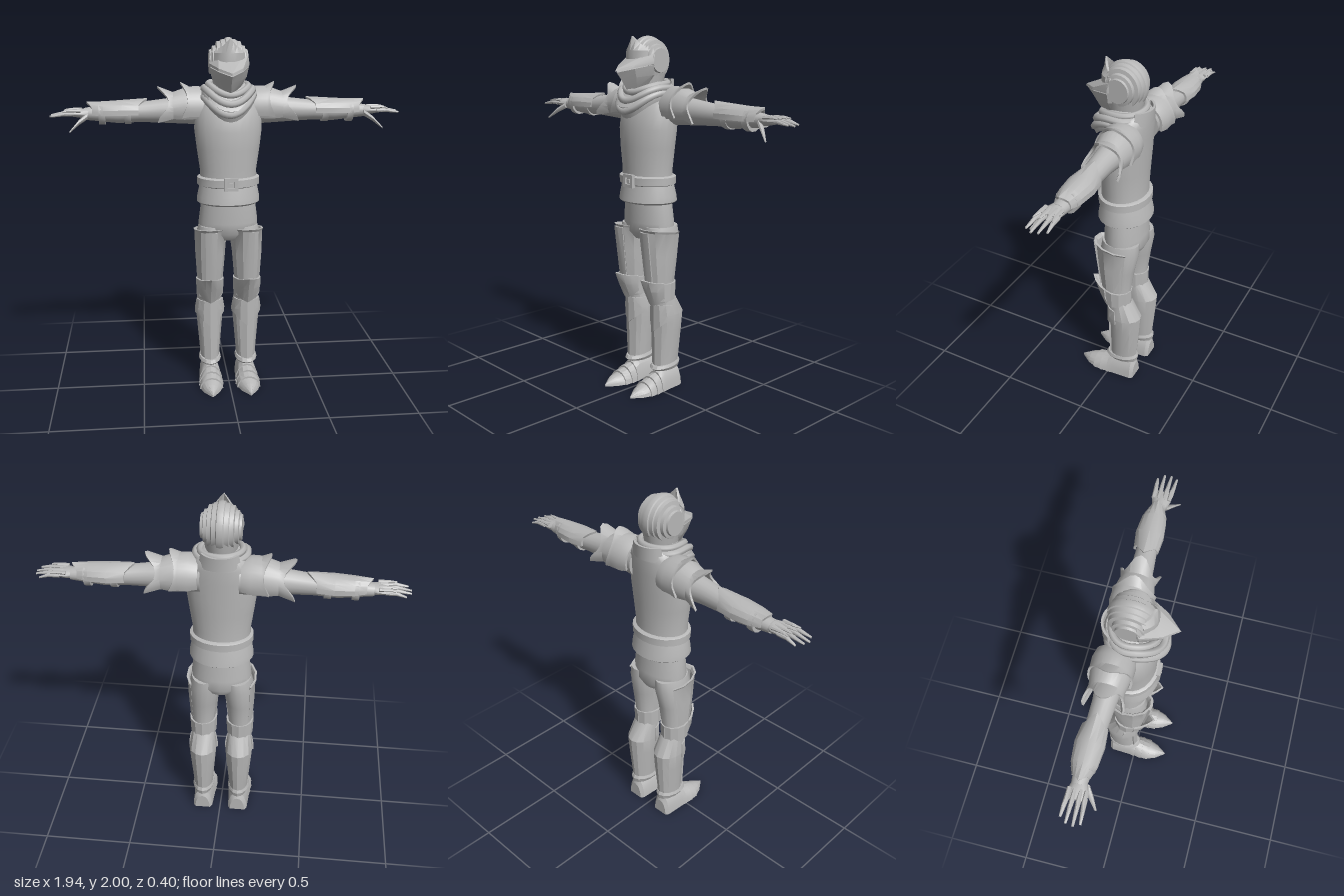
import * as THREE from 'three';
import { toCreasedNormals } from 'three/addons/utils/BufferGeometryUtils.js';

const steel = new THREE.MeshStandardMaterial({ color: 0xb8b8b8 });
steel.name = 'steel grey';

const AXES = { x: (t, a, b) => [t, a, b], y: (t, a, b) => [a, t, b], z: (t, a, b) => [a, b, t] };
const val = (v, a) => (typeof v === 'function' ? v(a) : v);
const peak = (a, w) => Math.max(0, 1 - Math.abs(a) / w);

// Skin a list of equal point loops, close both ends, and turn the faces outward
function loft(loops, side = 1, crease = 0.6) {
  const n = loops[0].length, m = loops.length, idx = [];
  for (let i = 0; i < m - 1; i++) for (let j = 0; j < n; j++) {
    const a = i * n + j, b = i * n + (j + 1) % n;
    idx.push(a, b, b + n, a, b + n, a + n);
  }
  const o = (m - 1) * n;
  for (let j = 0; j <= n / 2 - 2; j++) {
    const [p, q, r, s] = [j, j + 1, n - 2 - j, n - 1 - j];
    idx.push(p, r, q, p, s, r, o + p, o + q, o + r, o + p, o + r, o + s);
  }
  const pts = loops.flat().map(([x, y, z]) => new THREE.Vector3(x * side, y, z));
  let volume = 0;
  for (let k = 0; k < idx.length; k += 3) {
    volume += pts[idx[k]].dot(new THREE.Vector3().crossVectors(pts[idx[k + 1]], pts[idx[k + 2]]));
  }
  if (volume < 0) idx.reverse();
  const g = new THREE.BufferGeometry().setFromPoints(pts);
  g.setIndex(idx);
  return toCreasedNormals(g, crease);
}

// Row: position on axis, two centre coordinates, cross radius, front radius, back radius
function point(axis, row, a, shrink = 0) {
  const [t, c1, c2, r1, rf, rb = rf] = row.map((v) => val(v, a));
  const r2 = Math.cos(a) > 0 ? rf : rb;
  return AXES[axis](t, c1 + (r1 - shrink) * Math.sin(a), c2 + (r2 - shrink) * Math.cos(a));
}
function solid(rows, { axis = 'y', n = 24, side = 1, crease = 0.8 } = {}) {
  return loft(rows.map((row) => Array.from({ length: n }, (_, j) =>
    point(axis, row, (j / n) * Math.PI * 2 - Math.PI))), side, crease);
}
// Curved plate with thickness, covering the angles from a0 to a1
function plate(rows, a0, a1, { axis = 'y', n = 8, side = 1, th = 0.012, crease = 0.45 } = {}) {
  return loft(rows.map((row) => {
    const angles = Array.from({ length: n + 1 }, (_, j) => a0 + (a1 - a0) * j / n);
    return [...angles.map((a) => point(axis, row, a)),
      ...angles.reverse().map((a) => point(axis, row, a, th))];
  }), side, crease);
}

export function createModel() {
  const model = new THREE.Group();
  model.name = 'armouredFigure';
  const add = (name, geometry, parent = model) => {
    const mesh = new THREE.Mesh(geometry, steel);
    mesh.name = name;
    parent.add(mesh);
    return mesh;
  };

  // Trunk
  add('torso', solid([
    [1.18, 0, -0.035, 0.16, 0.125, 0.125], [1.28, 0, -0.035, 0.158, 0.125, 0.12],
    [1.4, 0, -0.035, 0.175, 0.13, 0.125], [1.5, 0, -0.04, 0.187, 0.135, 0.125],
    [1.6, 0, -0.05, 0.185, 0.13, 0.12], [1.68, 0, -0.07, 0.165, 0.11, 0.105],
    [1.73, 0, -0.085, 0.12, 0.07, 0.09], [1.745, 0, -0.085, 0.09, 0.05, 0.08],
  ]));
  add('skirt', solid([
    [1.09, 0, -0.037, 0.165, 0.135, 0.138], [1.1, 0, -0.037, 0.177, 0.147, 0.15],
    [1.13, 0, -0.037, 0.175, 0.143, 0.145], [1.21, 0, -0.035, 0.158, 0.125, 0.128],
  ]));
  add('belt', solid([
    [1.19, 0, -0.035, 0.158, 0.128, 0.128], [1.197, 0, -0.035, 0.174, 0.142, 0.142],
    [1.238, 0, -0.035, 0.174, 0.142, 0.142], [1.246, 0, -0.035, 0.158, 0.128, 0.128],
  ]));
  const buckle = new THREE.Shape();
  buckle.moveTo(-0.038, -0.036).lineTo(0.038, -0.036).lineTo(0.038, 0.036).lineTo(-0.038, 0.036);
  const hole = new THREE.Path();
  hole.moveTo(-0.02, -0.018).lineTo(-0.02, 0.018).lineTo(0.02, 0.018).lineTo(0.02, -0.018);
  buckle.holes.push(hole);
  add('buckle', new THREE.ExtrudeGeometry(buckle, { depth: 0.02, bevelEnabled: false })).position.set(0.002, 1.218, 0.098);
  add('buckleStud', new THREE.BoxGeometry(0.02, 0.02, 0.015)).position.set(0.002, 1.218, 0.11);
  add('hips', solid([
    [0.88, 0, -0.045, 0.1, 0.08, 0.1], [0.92, 0, -0.045, 0.165, 0.11, 0.12],
    [0.98, 0, -0.045, 0.168, 0.115, 0.115], [1.12, 0, -0.04, 0.15, 0.11, 0.11],
  ]));
  add('backCollar', plate([
    [1.69, 0, -0.07, 0.13, 0.1, 0.115], [1.765, 0, -0.07, 0.115, 0.1, 0.12],
  ], Math.PI - 1, Math.PI + 1));

  // Scarf: a draped bib with rolled folds above it
  const dip = (y, k) => (a) => y - k * Math.max(0, Math.cos(a)) ** 2.5;
  add('scarfBib', solid([
    [dip(1.66, 0.1), 0, -0.04, 0.145, 0.165, 0.1], [dip(1.69, 0.07), 0, -0.04, 0.152, 0.19, 0.11],
    [dip(1.725, 0.07), 0, -0.04, 0.14, 0.165, 0.1], [dip(1.755, 0.05), 0, -0.04, 0.085, 0.1, 0.08],
  ], { n: 28 }));
  [[1.69, 0.09, 0.138, 0.178, 0.02], [1.725, 0.075, 0.133, 0.165, 0.02], [1.745, 0.04, 0.11, 0.135, 0.018]]
    .forEach(([y, k, rx, rz, r], i) => {
      const pts = Array.from({ length: 20 }, (_, j) => {
        const a = (j / 20) * Math.PI * 2;
        return new THREE.Vector3(rx * Math.sin(a), dip(y, k)(a) + 0.006 * Math.sin(a + i * 2),
          -0.04 + (Math.cos(a) > 0 ? rz : 0.1) * Math.cos(a));
      });
      add('scarfFold', new THREE.TubeGeometry(new THREE.CatmullRomCurve3(pts, true), 48, r, 7, true));
    });

  // Helmet: stepped flutes run from front to back
  const helmet = new THREE.Group();
  helmet.name = 'helmet';
  model.add(helmet);
  const fluteRows = [];
  [0.016, 0.042, 0.066, 0.088, 0.104].forEach((x, i, all) => {
    const f = Math.sqrt(1 - (x / 0.12) ** 2) + (i % 2 ? 0.0 : 0.025);
    fluteRows.push([i ? all[i - 1] + 0.004 : 0, f], [x, f - 0.025]);
  });
  const skullRows = [...fluteRows.slice().reverse().map(([x, f]) => [-x, f]), ...fluteRows.slice(1)];
  add('skull', solid(skullRows.map(([x, f]) => [x, 1.868, -0.035, 0.128 * f, 0.12 * f]),
    { axis: 'x', n: 28, crease: 0.5 }), helmet);
  add('neckGuard', solid([
    [1.7, 0, -0.03, 0.075, 0.08, 0.085], [1.76, 0, -0.03, 0.085, 0.09, 0.1],
    [1.86, 0, -0.03, 0.102, 0.1, 0.118],
  ]), helmet);
  const wedge = (w, yBack, zBack, yTip, zTip) => [
    [-w * 0.8, yBack, zBack - 0.05], [-w, yBack, zBack], [-w * 0.6, (yBack + yTip) / 2, zBack + (zTip - zBack) * 0.58],
    [0, yTip, zTip], [w * 0.6, (yBack + yTip) / 2, zBack + (zTip - zBack) * 0.58],
    [w, yBack, zBack], [w * 0.8, yBack, zBack - 0.05], [0, yBack, zBack - 0.05],
  ];
  add('chinGuard', loft([
    wedge(0.06, 1.735, 0.02, 1.715, 0.12), wedge(0.095, 1.79, 0.02, 1.77, 0.16),
    wedge(0.107, 1.845, 0.02, 1.805, 0.19),
  ], 1, 0.3), helmet);
  add('visor', loft([
    wedge(0.109, 1.85, 0.02, 1.81, 0.2), wedge(0.109, 1.865, 0.02, 1.823, 0.195),
    wedge(0.104, 1.905, 0.01, 1.875, 0.095), wedge(0.09, 1.93, 0.01, 1.92, 0.09),
  ], 1, 0.3), helmet);
  add('browCrest', plate([
    [1.87, 0, -0.035, 0.105, 0.13], [1.92, 0, -0.035, 0.1, 0.13],
    [(a) => 1.945 + 0.05 * peak(a, 0.6), 0, -0.035, 0.085, (a) => 0.1 + 0.018 * peak(a, 0.6)],
  ], -0.95, 0.95), helmet);

  for (const side of [1, -1]) {
    const label = side > 0 ? 'left' : 'right';
    const group = (name) => {
      const g = new THREE.Group();
      g.name = label + name;
      model.add(g);
      return g;
    };

    // Arm
    const arm = group('Arm'), X = { axis: 'x', side };
    const top = Math.PI / 2;
    add('sleeve', solid([
      [0.1, 1.61, -0.085, 0.09, 0.085], [0.22, 1.605, -0.085, 0.078, 0.075],
      [0.36, 1.6, -0.085, 0.065, 0.06], [0.48, 1.595, -0.09, 0.055, 0.055],
      [0.6, 1.59, -0.095, 0.055, 0.056], [0.78, 1.588, -0.095, 0.033, 0.038],
    ], { ...X, n: 18 }), arm);
    const spikes = (a) => Math.abs(Math.cos(1.5 * (a - top))) ** 3;
    add('lowerPauldron', plate([
      [0.15, 1.615, -0.09, 0.1, 0.1], [0.24, 1.615, -0.09, 0.108, 0.102], [0.3, 1.61, -0.09, 0.092, 0.09],
      [(a) => 0.325 + 0.06 * spikes(a), 1.61, -0.09, (a) => 0.088 + 0.037 * spikes(a), (a) => 0.09 + 0.03 * spikes(a)],
    ], top - 2.1, top + 2.1, { ...X, n: 18 }), arm);
    add('upperPauldron', plate([
      [0.11, 1.615, -0.09, 0.1, 0.1], [0.16, 1.615, -0.09, 0.118, 0.112], [0.21, 1.615, -0.09, 0.116, 0.11],
      [(a) => 0.225 + 0.035 * spikes(a), 1.615, -0.09, (a) => 0.114 + 0.028 * spikes(a), 0.114],
    ], top - 1.9, top + 1.9, { ...X, n: 18 }), arm);
    add('forearmGuard', plate([
      [(a) => 0.49 - 0.05 * peak(a - top, 0.9), 1.595, -0.095, (a) => 0.062 + 0.013 * peak(a - top, 0.9), 0.066],
      [0.58, 1.595, -0.097, 0.066, 0.076], [0.68, 1.593, -0.097, 0.062, 0.066],
      [(a) => 0.74 + 0.03 * peak(a - top, 0.9), 1.592, -0.097, (a) => 0.048 + 0.014 * peak(a - top, 0.9), 0.045],
    ], top - 1.75, top + 1.75, X), arm);
    for (const x of [0.53, 0.67]) add('forearmStrap', solid([
      [x, 1.59, -0.096, 0.062, 0.062], [x + 0.035, 1.59, -0.096, 0.062, 0.06],
    ], { ...X, n: 14 }), arm);
    add('palm', solid([
      [0.755, 1.59, -0.092, 0.03, 0.035], [0.8, 1.592, -0.09, 0.026, 0.05], [0.85, 1.592, -0.088, 0.016, 0.052],
    ], { ...X, n: 12 }), arm);
    [[-0.132, 0.94], [-0.105, 0.965], [-0.075, 0.97], [-0.048, 0.955]].forEach(([z, tip], i) => {
      const z1 = z + (z + 0.09) * 0.2;
      add('finger', solid([
        [0.835, 1.592, z, 0.012, 0.013], [0.89, 1.593, (z + z1) / 2, 0.011, 0.011], [tip, 1.578 + 0.004 * (i % 2), z1, 0.005, 0.006],
      ], { ...X, n: 8 }), arm);
      add('knuckleGuard', solid([
        [0.8, 1.608, z, 0.01, 0.011], [0.86, 1.61, z, 0.007, 0.01], [0.895, 1.606, z1, 0.003, 0.004],
      ], { ...X, n: 6, crease: 0.3 }), arm);
    });
    add('thumb', solid([
      [0.765, 1.58, -0.065, 0.018, 0.02], [0.81, 1.55, -0.032, 0.014, 0.016], [0.86, 1.502, 0.004, 0.005, 0.006],
    ], { ...X, n: 8 }), arm);

    // Leg
    const leg = group('Leg'), Y = { side };
    add('thigh', solid([
      [0.48, 0.107, -0.06, 0.062, 0.07, 0.07], [0.62, 0.107, -0.04, 0.066, 0.075, 0.078],
      [0.78, 0.104, -0.04, 0.08, 0.1, 0.1], [0.9, 0.095, -0.045, 0.088, 0.11, 0.118], [0.96, 0.09, -0.045, 0.078, 0.1, 0.115],
    ], { ...Y, n: 18 }), leg);
    add('thighPlate', plate([
      [0.65, 0.107, -0.03, 0.075, 0.085], [0.8, 0.105, -0.03, 0.086, 0.108],
      [(a) => 0.925 + 0.015 * Math.cos(a), 0.103, -0.03, 0.091, 0.122],
      [(a) => 0.938 + 0.018 * Math.cos(a), 0.103, -0.03, 0.097, 0.133],
    ], -2, 2.35, Y), leg);
    add('thighRidge', plate([
      [0.65, 0.107, -0.03, 0.082, 0.095], [0.94, 0.104, -0.03, 0.1, 0.134],
    ], -0.35, 0.35, { ...Y, n: 2 }), leg);
    add('kneeStrap', plate([
      [0.54, 0.107, -0.04, 0.076, 0.08, 0.085], [0.64, 0.107, -0.04, 0.08, 0.085, 0.088],
    ], -Math.PI + 0.02, Math.PI - 0.02, { ...Y, n: 12 }), leg);
    add('kneeGuard', plate([
      [(a) => 0.53 - 0.025 * peak(a, 0.8), 0.107, -0.04, 0.07, 0.075], [0.6, 0.107, -0.04, 0.082, 0.115],
      [(a) => 0.65 + 0.025 * peak(a, 0.8), 0.107, -0.04, 0.085, (a) => 0.115 + 0.045 * peak(a, 0.9)],
    ], -1.15, 1.15, { ...Y, n: 6 }), leg);
    add('greave', solid([
      [0.12, 0.107, -0.075, 0.054, 0.075, 0.085], [0.2, 0.107, -0.08, 0.06, 0.08, 0.088],
      [0.35, 0.107, -0.085, 0.073, 0.085, 0.096], [0.45, 0.107, -0.085, 0.081, 0.09, 0.103],
      [0.56, 0.107, -0.065, 0.066, 0.075, 0.055],
    ], { ...Y, n: 14, crease: 0.42 }), leg);
    add('shinPlate', plate([
      [0.14, 0.107, -0.075, 0.06, 0.085], [0.42, 0.107, -0.08, 0.08, 0.094],
    ], -0.6, 0.6, { ...Y, n: 2 }), leg);
    add('shinCap', plate([
      [(a) => 0.42 - 0.065 * peak(a, 1), 0.107, -0.08, 0.087, 0.097],
      [0.45, 0.107, -0.08, 0.088, 0.099], [0.51, 0.107, -0.07, 0.078, 0.09],
    ], -1.4, 1.4, { ...Y, n: 6 }), leg);
    add('ankleBand', solid([
      [0.115, 0.107, -0.07, 0.056, 0.088, 0.1], [(a) => 0.135 - 0.01 * Math.cos(a), 0.107, -0.07, 0.066, 0.1, 0.106],
      [(a) => 0.152 - 0.01 * Math.cos(a), 0.107, -0.07, 0.06, 0.09, 0.098],
    ], { ...Y, n: 14, crease: 0.4 }), leg);
    // Foot with overlapping lames, flat underneath
    add('foot', solid([
      [-0.163, 0.107, 0, 0.045, 0.09, 0], [-0.145, 0.107, 0, 0.058, 0.13, 0], [-0.03, 0.107, 0, 0.064, 0.13, 0],
      [0.005, 0.107, 0, 0.07, 0.108, 0], [0.005, 0.107, 0, 0.066, 0.098, 0],
      [0.05, 0.108, 0, 0.073, 0.088, 0], [0.05, 0.108, 0, 0.068, 0.078, 0],
      [0.095, 0.109, 0, 0.068, 0.068, 0], [0.095, 0.109, 0, 0.062, 0.058, 0],
      [0.14, 0.11, 0, 0.046, 0.046, 0], [0.2, 0.11, 0, 0.003, 0.012, 0],
    ], { axis: 'z', side, n: 16, crease: 0.4 }), leg);
  }
  return model;
}
